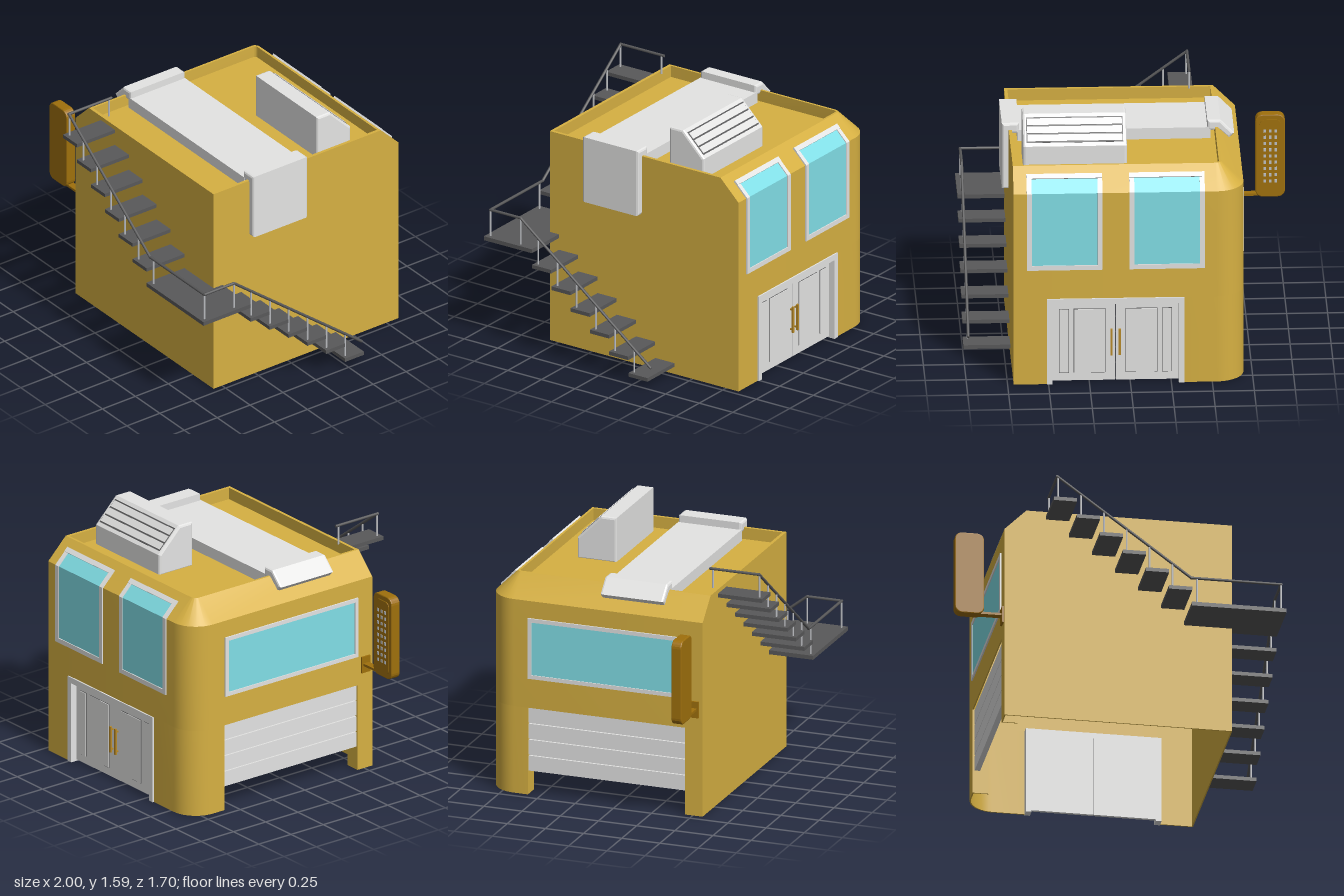
import * as THREE from 'three';
import { toCreasedNormals } from 'three/addons/utils/BufferGeometryUtils.js';

const mat = (name, color, side = THREE.FrontSide) => {
  const m = new THREE.MeshStandardMaterial({ color, side });
  m.name = name;
  return m;
};

export function createModel() {
  const root = new THREE.Group();
  root.name = 'building';
  const yellow = mat('ochre wall', 0xd6b042, THREE.DoubleSide);
  const grey = mat('light grey trim', 0xe4e4e3);
  const glass = mat('teal glass', 0x82e0e8);
  const dark = mat('dark metal', 0x59595a);
  const post = mat('post grey', 0xc0c2c6);
  const brown = mat('sign brown', 0x9f700c);
  const gold = mat('handle gold', 0xb88a28);

  const add = (name, geo, m) => {
    const mesh = new THREE.Mesh(geo, m);
    mesh.name = name;
    root.add(mesh);
    return mesh;
  };
  // Box given by its limits on each axis
  const box = (name, m, x0, x1, y0, y1, z0, z1) => {
    const b = add(name, new THREE.BoxGeometry(x1 - x0, y1 - y0, z1 - z0), m);
    b.position.set((x0 + x1) / 2, (y0 + y1) / 2, (z0 + z1) / 2);
    return b;
  };
  const shapeOf = pts => new THREE.Shape(pts.map(p => new THREE.Vector2(p[0], p[1])));
  const extrude = (pts, depth, bevel = 0) => {
    const g = new THREE.ExtrudeGeometry(shapeOf(pts), {
      depth: depth - 2 * bevel, bevelEnabled: bevel > 0, bevelSize: bevel,
      bevelThickness: bevel, bevelOffset: -bevel, bevelSegments: 2 });
    return g.translate(0, 0, bevel);
  };
  // Profile of [z, y] points swept from x0 to x1
  const sweepX = (name, m, pts, x0, x1, bevel = 0) =>
    add(name, extrude(pts.map(([z, y]) => [-z, y]), x1 - x0, bevel).rotateY(Math.PI / 2).translate(x0, 0, 0), m);

  // Plan outline with one rounded corner; inset on the chamfered sides, k on the plain sides
  const L = -0.697, R = 0.713, F = 0.564, B = -0.842, TOP = 1.384, T = 0.008;
  const corner = inset => Array.from({ length: 11 }, (_, i) => {
    const a = -Math.PI / 2 * (1 + i / 10), r = 0.17 - inset;
    return [L + 0.17 + r * Math.cos(a), B + 0.17 + r * Math.sin(a)];
  });
  const outline = (inset, k) => [[L + inset, F - k], [R - k, F - k], [R - k, B + inset], ...corner(inset)];

  // Walls raised from plan shapes: thin, with deep jambs beside the shutter
  const wall = (name, pts, y0, y1, hole) => {
    const s = shapeOf(pts);
    if (hole) s.holes.push(new THREE.Path(hole.map(p => new THREE.Vector2(p[0], p[1]))));
    const g = new THREE.ExtrudeGeometry(s, { depth: y1 - y0, bevelEnabled: false });
    add(name, toCreasedNormals(g.rotateX(Math.PI / 2).translate(0, y1, 0), 0.5), yellow);
  };
  wall('lowerWalls', [[L, 0.45], [L, F], [R, F], [R, B], [0.51, B], [0.51, B + T], [R - T, B + T], [R - T, F - T],
    [L + T, F - T], [L + T, 0.45 + T], [L + 0.1, 0.45 + T], [L + 0.1, 0.45]], 0, 0.56);
  wall('roundedCornerPillar', [[-0.33, B], ...corner(0), [L, -0.58], [L + 0.1, -0.58], [L + 0.1, -0.58 - T],
    [L + T, -0.58 - T], ...corner(T).reverse(), [-0.33, B + T]], 0, 0.56);
  wall('upperWalls', outline(0, 0), 0.56, 1.25, outline(T, T));

  // Chamfered top edge, rim and inner side of the parapet
  const rings = [[0, 0, 1.25], [0.135, 0, TOP], [0.15, 0.02, TOP], [0.15, 0.02, 1.31]]
    .map(([i, k, y]) => outline(i, k).map(([x, z]) => [x, y, z]));
  const pos = [];
  for (let r = 0; r < 3; r++) {
    const lo = rings[r], hi = rings[r + 1], n = lo.length;
    for (let j = 0; j < n; j++) {
      const q = (j + 1) % n;
      pos.push(...lo[j], ...lo[q], ...hi[q], ...lo[j], ...hi[q], ...hi[j]);
    }
  }
  const rim = new THREE.BufferGeometry();
  rim.setAttribute('position', new THREE.Float32BufferAttribute(pos, 3));
  add('parapet', toCreasedNormals(rim, 0.5), yellow);
  box('roofDeck', yellow, L + 0.15, R - 0.02, 1.302, 1.31, B + 0.15, F - 0.02);

  // Back windows bent over the chamfer
  const skin = o => [[B - o, 0.75], [B - o, 1.25 + 0.414 * o], [B + 0.09 - 0.707 * o, 1.34 + 0.707 * o]];
  const band = o => [...skin(o), ...skin(-0.002).reverse()];
  for (const [x0, x1] of [[-0.455, 0.005], [0.17, 0.633]]) {
    sweepX('backWindowGlass', glass, band(0.003), x0 + 0.02, x1 - 0.02);
    sweepX('backWindowSide', grey, band(0.009), x0, x0 + 0.03);
    sweepX('backWindowSide', grey, band(0.009), x1 - 0.03, x1);
    box('backWindowSill', grey, x0, x1, 0.75, 0.78, B - 0.009, B + 0.002);
    const head = box('backWindowHead', grey, x0, x1, 1.315, 1.347, B + 0.069, B + 0.091);
    head.rotation.x = Math.PI / 4;
  }

  // Side window above the shutter
  box('sideWindowGlass', glass, L - 0.003, L + T + 0.003, 0.77, 1.12, -0.56, 0.43);
  for (const [y0, y1] of [[0.75, 0.775], [1.115, 1.14]]) box('sideWindowBar', grey, L - 0.009, L + 0.004, y0, y1, -0.58, 0.45);
  for (const z of [-0.58, 0.425]) box('sideWindowPost', grey, L - 0.009, L + 0.004, 0.775, 1.115, z, z + 0.025);

  // Shutter, raised slightly off the ground, with a wall panel behind its upper part
  box('shutterBacking', grey, -0.67, -0.65, 0.15, 0.56, -0.58, 0.45);
  for (let i = 0; i < 4; i++) {
    const y = 0.15 + i * 0.103;
    box('shutterSlat', grey, -0.684, -0.665, y, y + 0.097, -0.58, 0.45);
  }
  box('shutterInnerPanel', yellow, -0.65, -0.642, 0.25, 0.56, -0.58, 0.45);

  // Double door with frame, panels and handles
  for (const x of [-0.33, 0.475]) box('doorJamb', grey, x, x + 0.035, 0, 0.555, B - 0.009, -0.79);
  box('doorHead', grey, -0.33, 0.51, 0.522, 0.56, B - 0.009, -0.79);
  for (const s of [-1, 1]) {
    const at = (name, m, a, b, y0, y1, z0, z1) => {
      const p = 0.09 + s * a, q = 0.09 + s * b;
      box(name, m, Math.min(p, q), Math.max(p, q), y0, y1, z0, z1);
    };
    at('doorLeaf', grey, 0.002, 0.385, 0.01, 0.522, -0.81, -0.79);
    for (const [a, b] of [[0.06, 0.255], [0.285, 0.345]]) {
      at('doorPanelEdge', dark, a, b, 0.06, 0.48, -0.812, -0.81);
      at('doorPanel', grey, a + 0.003, b - 0.003, 0.063, 0.477, -0.816, -0.81);
    }
    at('doorHandle', gold, 0.018, 0.032, 0.18, 0.35, -0.835, -0.822);
    for (const y of [0.195, 0.325]) at('handleMount', gold, 0.02, 0.03, y, y + 0.01, -0.824, -0.81);
  }

  // Roof duct with its two end hoods
  box('ductTop', grey, -0.52, 0.66, 1.3, 1.382, -0.12, 0.293);
  const hood = (name, pts) => add(name, extrude(pts, 0.415, 0.014).translate(0, 0, -0.122), grey);
  hood('ductHoodLeft', [[-0.665, 1.34], [-0.58, 1.427], [-0.5, 1.427], [-0.5, 1.36], [-0.57, 1.36], [-0.63, 1.305]]);
  hood('ductHoodRight', [[0.65, 1.36], [0.65, 1.427], [0.755, 1.427], [0.755, 0.998], [0.7, 0.998], [0.7, 1.36]]);

  // Roof vent unit with louvres on its slope
  sweepX('ventUnit', grey, [[-0.275, 1.3], [-0.275, 1.593], [-0.378, 1.593], [-0.533, 1.438], [-0.533, 1.3]], 0.008, 0.643, 0.014);
  const louvres = new THREE.Group();
  louvres.name = 'ventLouvres';
  louvres.position.set(0.325, 1.5155, -0.4555);
  louvres.rotation.x = Math.PI / 4;
  const slab = (name, m, w, h, d, y) => {
    const b = new THREE.Mesh(new THREE.BoxGeometry(w, h, d), m);
    b.name = name;
    b.position.y = y;
    louvres.add(b);
  };
  slab('ventOpening', dark, 0.59, 0.17, 0.004, 0);
  for (const y of [-0.054, 0, 0.054]) slab('louvre', grey, 0.58, 0.044, 0.012, y);
  root.add(louvres);

  // Hanging sign on its bracket
  const rounded = (x0, x1, y0, y1, r) => {
    const pts = [];
    [[x1 - r, y1 - r], [x0 + r, y1 - r], [x0 + r, y0 + r], [x1 - r, y0 + r]].forEach(([cx, cy], c) => {
      for (let i = 0; i <= 5; i++) {
        const a = (c + i / 5) * Math.PI / 2;
        pts.push([cx + r * Math.cos(a), cy + r * Math.sin(a)]);
      }
    });
    return pts;
  };
  add('signBody', extrude(rounded(-1, -0.818, 0.678, 1.218, 0.045), 0.066, 0.006).translate(0, 0, 0.476), brown);
  add('signPanel', extrude(rounded(-0.975, -0.845, 0.71, 1.185, 0.03), 0.008).translate(0, 0, 0.471), brown);
  for (let i = 0; i < 27; i++) {
    const x = -0.951 + 0.034 * (i % 3), y = 0.775 + 0.041 * Math.floor(i / 3);
    box('signDot', post, x, x + 0.016, y, y + 0.02, 0.468, 0.472);
  }
  box('signArm', brown, -0.86, L, 0.683, 0.698, 0.485, 0.53);
  box('signMount', brown, L - 0.012, L + 0.004, 0.635, 0.74, 0.475, 0.54);

  // Stair treads and landing
  for (let i = 0; i < 6; i++) {
    const x = -0.44 + 0.1425 * i, y = 1.333 - 0.108 * i;
    box('frontTread', dark, x, x + 0.143, y, y + 0.024, F, 0.852);
    const z = 0.353 - 0.1435 * i, ys = 0.59 - 0.1085 * i;
    box('sideTread', dark, R, 1, ys, ys + 0.024, z, z + 0.142);
  }
  box('landing', dark, 0.415, 1, 0.69, 0.716, F, 0.854);
  box('landingReturn', dark, R, 1, 0.69, 0.716, 0.497, F);

  // Handrail segments and their posts
  const rod = (name, m, a, b, r) => {
    const p = new THREE.Vector3(...a), d = new THREE.Vector3(...b).sub(p);
    const g = add(name, new THREE.CylinderGeometry(r, r, d.length() + r, 8), m);
    g.position.copy(p).addScaledVector(d, 0.5);
    g.quaternion.setFromUnitVectors(new THREE.Vector3(0, 1, 0), d.normalize());
  };
  const rail = [[-0.415, 1.505, 0.505], [-0.415, 1.505, 0.825], [0.415, 0.888, 0.825], [0.97, 0.888, 0.825],
    [0.97, 0.888, 0.6], [0.97, 0.13, -0.367]];
  for (let i = 0; i < 5; i++) rod('handrail', dark, rail[i], rail[i + 1], 0.009);
  for (let i = 0; i < 6; i++) {
    const x = -0.41 + 0.1415 * i;
    rod('frontPost', post, [x, 1.35 - 0.108 * i, 0.825], [x, 1.5 - 0.743 * (x + 0.415), 0.825], 0.006);
    const z = 0.47 - 0.143 * i;
    rod('sidePost', post, [0.97, 0.61 - 0.1085 * i, z], [0.97, 0.885 + 0.7855 * (z - 0.6), z], 0.006);
  }
  rod('topPost', post, [-0.415, 1.385, 0.522], [-0.415, 1.5, 0.522], 0.006);
  for (const [x, z] of [[0.45, 0.825], [0.97, 0.825], [0.97, 0.6]]) rod('landingPost', post, [x, 0.71, z], [x, 0.885, z], 0.006);

  return root;
}
